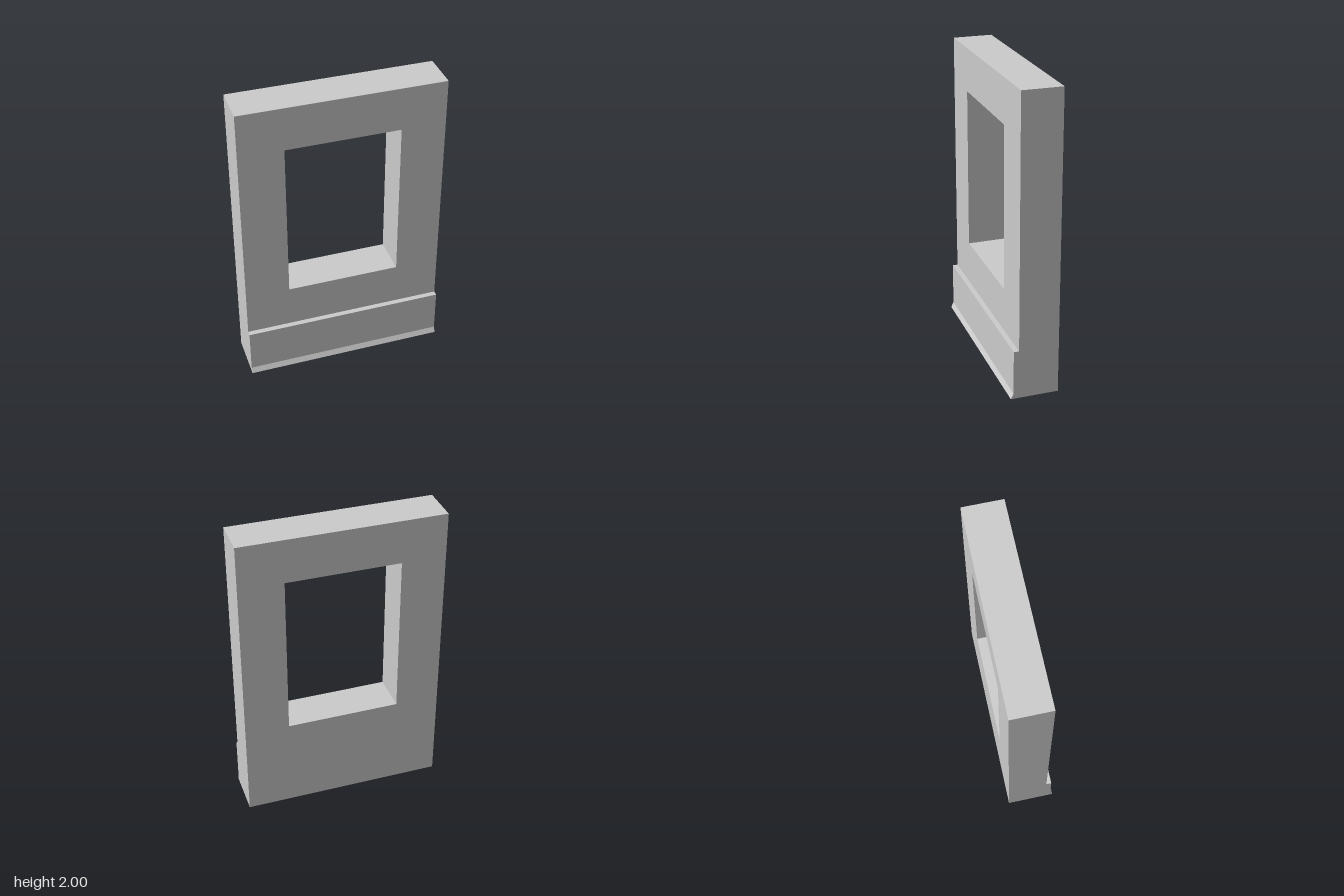
import * as THREE from 'three';

const WIDTH = 1.33, HEIGHT = 2;
const BACK = -0.158, FRONT = 0.105;

const polygon = (points) => points.map(([x, y]) => new THREE.Vector2(x, y));

const rectangle = (x0, y0, x1, y1) => polygon([[x0, y0], [x1, y0], [x1, y1], [x0, y1]]);

export function createModel() {
  const group = new THREE.Group();
  group.name = 'windowWall';
  const material = new THREE.MeshStandardMaterial({ color: 0xcccccc, flatShading: true });

  const addPart = (name, geometry) => {
    const mesh = new THREE.Mesh(geometry, material);
    mesh.name = name;
    group.add(mesh);
  };

  // Wall slab with a rectangular window opening
  const wallShape = new THREE.Shape(rectangle(-WIDTH / 2, 0, WIDTH / 2, HEIGHT));
  wallShape.holes.push(new THREE.Path(rectangle(-0.373, 0.625, 0.373, 1.71)));
  const wall = new THREE.ExtrudeGeometry(wallShape, { depth: FRONT - BACK, bevelEnabled: false });
  wall.translate(0, 0, BACK);
  addPart('wall', wall);

  // Plinth along the front foot, its (z, y) profile flaring out at the ground
  const profile = new THREE.Shape(polygon([
    [FRONT, 0], [0.158, 0], [0.14, 0.035], [0.14, 0.333], [FRONT, 0.333],
  ]));
  const plinth = new THREE.ExtrudeGeometry(profile, { depth: WIDTH, bevelEnabled: false });
  plinth.rotateY(-Math.PI / 2).translate(WIDTH / 2, 0, 0);
  addPart('plinth', plinth);

  return group;
}
